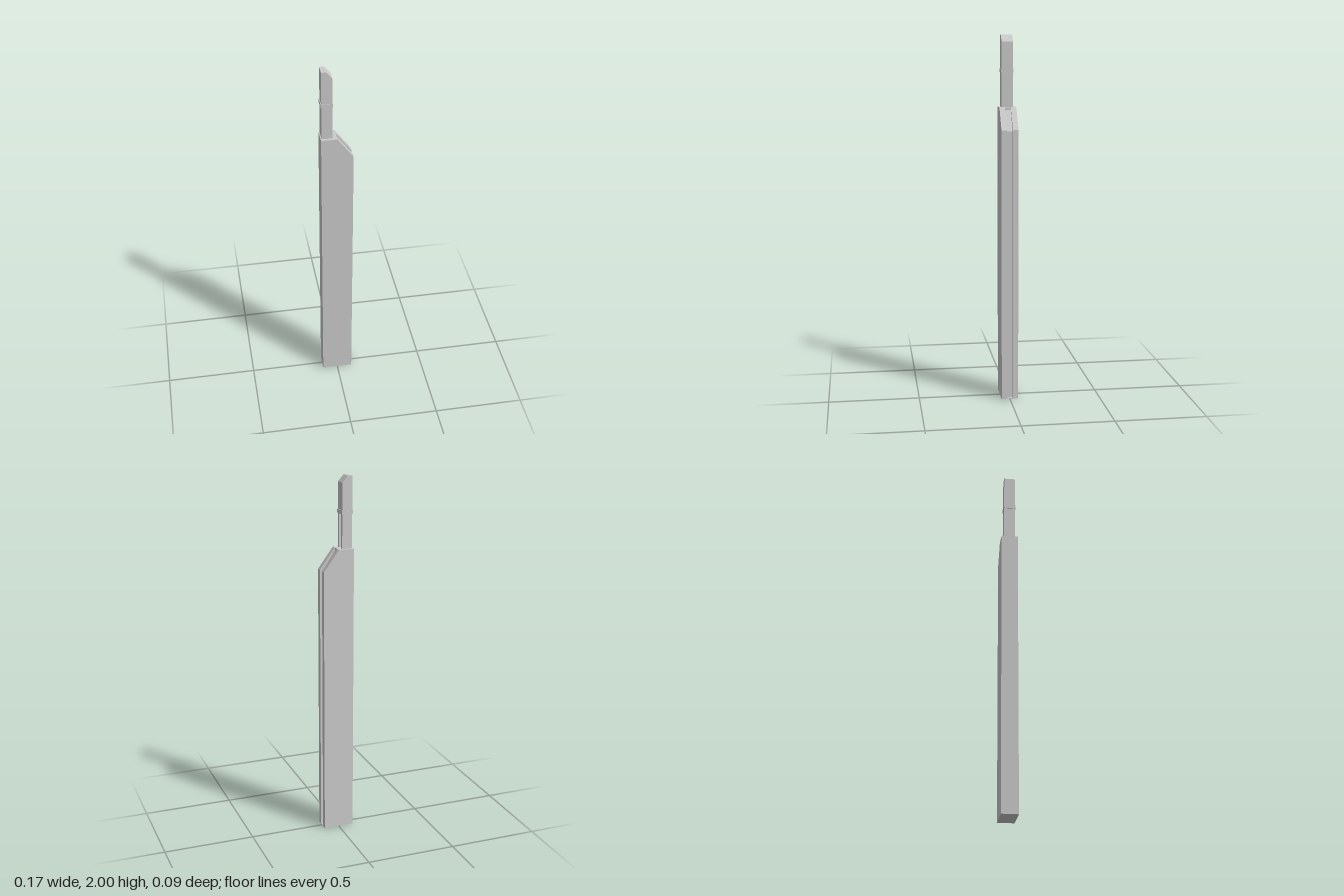
import * as THREE from 'three';

const material = new THREE.MeshStandardMaterial({ color: 0xcccccc, flatShading: true });

// Side profile in x/y, extruded from z0 to z1
function slab(name, points, z0, z1) {
  const shape = new THREE.Shape(points.map(([x, y]) => new THREE.Vector2(x, y)));
  const geometry = new THREE.ExtrudeGeometry(shape, { depth: z1 - z0, bevelEnabled: false });
  geometry.translate(0, 0, z0);
  const mesh = new THREE.Mesh(geometry, material);
  mesh.name = name;
  return mesh;
}

function box(name, x0, x1, y0, y1, z0, z1) {
  const mesh = new THREE.Mesh(new THREE.BoxGeometry(x1 - x0, y1 - y0, z1 - z0), material);
  mesh.position.set((x0 + x1) / 2, (y0 + y1) / 2, (z0 + z1) / 2);
  mesh.name = name;
  return mesh;
}

export function createModel() {
  const model = new THREE.Group();
  model.name = 'slidingKnife';

  // Handle: two cheeks around a recessed core that leaves a slot along the edge
  const handle = new THREE.Group();
  handle.name = 'handle';
  const cheek = [[-0.085, 0], [0.085, 0], [0.085, 1.5], [0, 1.615], [-0.085, 1.615]];
  const core = [[-0.085, 0], [0.085, 0], [0.085, 0.004], [0.069, 0.004],
    [0.069, 1.493], [0, 1.6], [0, 1.615], [-0.085, 1.615]];
  handle.add(
    slab('handleCheekFront', cheek, 0.016, 0.046),
    slab('handleCheekBack', cheek, -0.046, -0.016),
    slab('handleCore', core, -0.016, 0.016),
  );

  // Blade stem with a groove on its +x edge
  const stem = new THREE.Group();
  stem.name = 'stem';
  stem.add(box('stemCore', -0.08, -0.034, 1.61, 1.81, -0.031, 0.031));
  for (const s of [-1, 1]) {
    const rail = box('stemRail', -0.034, -0.024, 1.61, 1.81, 0.016, 0.031);
    rail.position.z *= s;
    stem.add(rail);
  }

  // Blade with a slanted tip, and the collar at its base
  const blade = slab('blade', [[-0.08, 1.81], [-0.024, 1.81], [-0.024, 1.965], [-0.055, 2], [-0.08, 2]], -0.031, 0.031);
  const collar = box('collar', -0.084, -0.02, 1.8, 1.82, -0.034, 0.034);

  model.add(handle, stem, blade, collar);
  return model;
}
